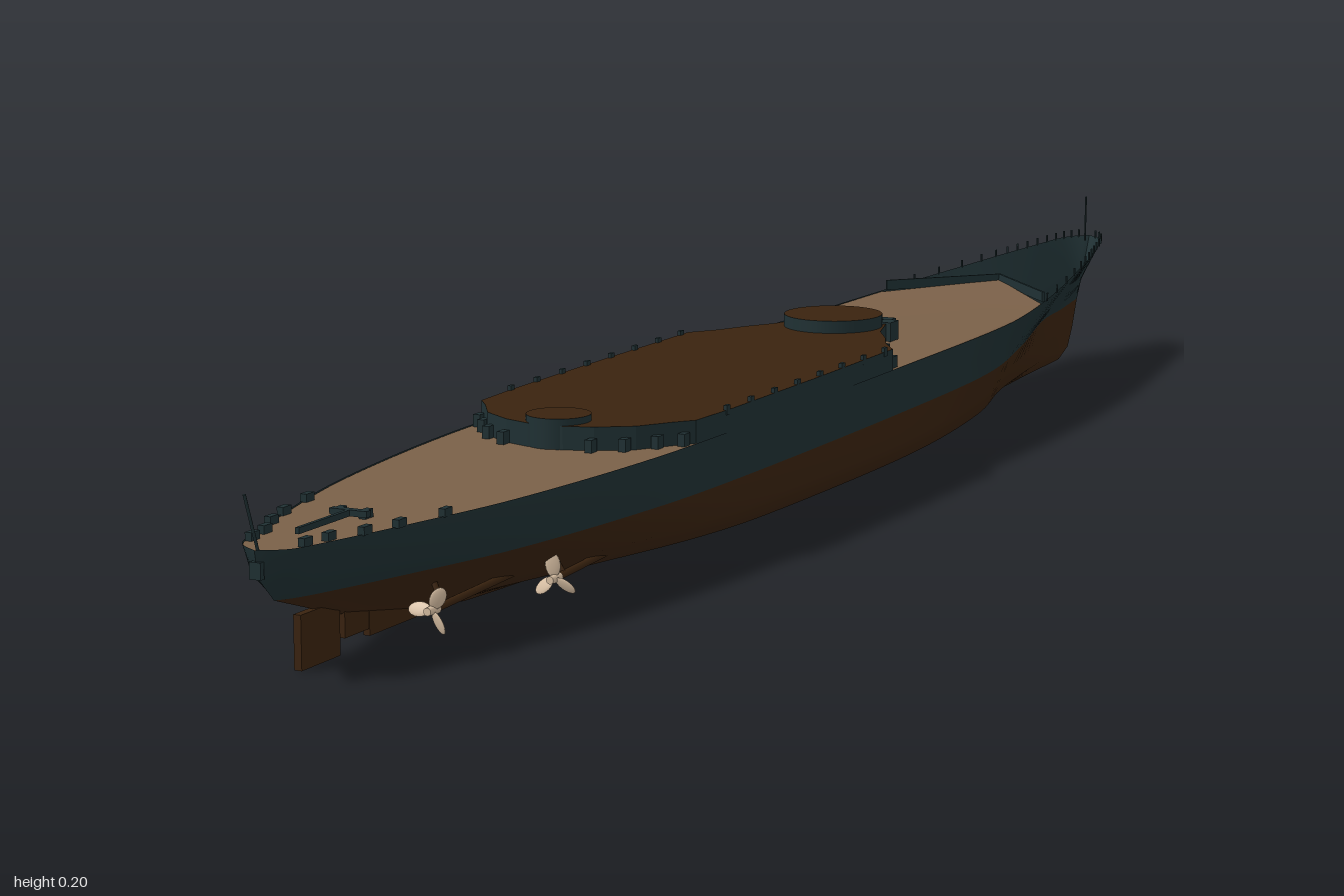
import * as THREE from 'three';

const mat = (name, color, side = THREE.FrontSide) => {
  const m = new THREE.MeshStandardMaterial({ color, side });
  m.name = name;
  return m;
};

// Fractions of a waterline's length at which half-widths are given
const F = [0, .012, .05, .1, .2, .3, .45, .65, .75, .85, .92, .97, .99, 1];
// Waterlines from keel to deck: height, bow z, stern z, half-widths
const LEVELS = [
  { y: .004, a: -.90, b: .62, w: [0, .002, .005, .01, .025, .055, .078, .078, .06, .03, .012, .005, .002, 0] },
  { y: .016, a: -.93, b: .72, w: [0, .002, .008, .018, .045, .085, .112, .112, .098, .06, .03, .01, .004, 0] },
  { y: .04, a: -.945, b: .85, w: [0, .003, .012, .024, .06, .1, .125, .125, .112, .07, .035, .012, .005, 0] },
  { y: .075, a: -.96, b: .955, w: [0, .004, .016, .03, .08, .117, .128, .128, .117, .09, .055, .026, .012, 0] },
  { y: .1, a: -.975, b: .98, w: [0, .008, .026, .045, .09, .12, .128, .128, .12, .096, .064, .034, .02, 0] },
  { y: null, a: -1, b: .985, w: [0, .026, .046, .068, .104, .124, .128, .128, .121, .098, .067, .04, .026, 0] },
];
const N = 104;
const sheer = z => .127 + .026 * Math.pow(Math.max(0, (-z - .45) / .55), 1.3);

// Points of one waterline on one side of the hull
function waterline({ y, a, b, w }, side) {
  const curve = new THREE.SplineCurve(F.map((f, i) => new THREE.Vector2(a + (b - a) * f, w[i])));
  return curve.getPoints(N).map(p => new THREE.Vector3(side * Math.max(0, p.y), y ?? sheer(p.x), p.x));
}

// Skin between successive rows of points
function skin(rows) {
  const pos = [], idx = [], n = rows[0].length;
  rows.forEach(r => r.forEach(p => pos.push(p.x, p.y, p.z)));
  for (let j = 0; j < rows.length - 1; j++)
    for (let i = 0; i < n - 1; i++) {
      const a = j * n + i, b = a + n;
      idx.push(a, b, a + 1, b, b + 1, a + 1);
    }
  const g = new THREE.BufferGeometry();
  g.setAttribute('position', new THREE.Float32BufferAttribute(pos, 3));
  g.setIndex(idx);
  g.computeVertexNormals();
  return g;
}

// Symmetric plan shape from [x, z] points running from bow to stern
function plan(half) {
  const right = half.map(([x, z]) => new THREE.Vector2(x, -z));
  const left = half.filter(p => p[0] > 0).map(([x, z]) => new THREE.Vector2(-x, -z)).reverse();
  return new THREE.Shape([...right, ...left]);
}

export function createModel() {
  const ship = new THREE.Group();
  ship.name = 'warshipHull';
  const grey = mat('hullGrey', 0x1f3033);
  const greyShell = mat('hullGreyShell', 0x1f3033, THREE.DoubleSide);
  const brown = mat('bottomBrown', 0x3a230f);
  const brownShell = mat('bottomBrownShell', 0x3a230f, THREE.DoubleSide);
  const wood = mat('deckWood', 0x7a6048, THREE.DoubleSide);
  const bronze = mat('propellerBronze', 0xd8bfa3);

  const add = (name, geo, material, x = 0, y = 0, z = 0, parent = ship) => {
    const m = new THREE.Mesh(geo, material);
    m.name = name;
    m.position.set(x, y, z);
    parent.add(m);
    return m;
  };
  const box = (name, w, h, d, x, y, z, m = grey) => add(name, new THREE.BoxGeometry(w, h, d), m, x, y, z);
  const rod = (name, from, to, r, m) => {
    const a = new THREE.Vector3(...from), b = new THREE.Vector3(...to), d = b.clone().sub(a);
    const mesh = add(name, new THREE.CylinderGeometry(r, r, d.length(), 8), m);
    mesh.position.copy(a).add(b).multiplyScalar(.5);
    mesh.quaternion.setFromUnitVectors(new THREE.Vector3(0, 1, 0), d.normalize());
    return mesh;
  };

  // Hull: brown below the waterline, grey above, open at the bow
  const lower = LEVELS.slice(0, 4);
  add('lowerHull', skin([...lower.map(l => waterline(l, -1)).reverse(), ...lower.map(l => waterline(l, 1))]), brownShell);
  for (const s of [-1, 1]) {
    const rows = LEVELS.slice(3).map(l => waterline(l, s));
    add('upperHullSide', skin(s < 0 ? rows.reverse() : rows), greyShell);
  }

  // Wooden deck with a V-shaped forward edge
  const rim = waterline(LEVELS[5], 1);
  const deckHalf = [[0, -.7], ...rim.filter(p => p.z > -.59 && p.z < .982).map(p => [Math.max(.001, p.x - .001), p.z]), [0, .984]];
  const deckGeo = new THREE.ShapeGeometry(plan(deckHalf)).rotateX(-Math.PI / 2);
  const dp = deckGeo.attributes.position;
  for (let i = 0; i < dp.count; i++) dp.setY(i, sheer(dp.getZ(i)) - .001);
  deckGeo.computeVertexNormals();
  add('woodenDeck', deckGeo, wood);

  // Raised midship deck
  const mid = [[0, -.25], [.05, -.25], [.066, -.2], [.088, -.165], [.105, -.13], [.127, -.1], [.1285, .1],
    [.1275, .3], [.124, .37], [.108, .39], [.085, .425], [.05, .448], [.02, .458], [0, .459]];
  const midGeo = new THREE.ExtrudeGeometry(plan(mid), { depth: .03, bevelEnabled: false }).rotateX(-Math.PI / 2);
  add('midshipDeck', midGeo, [brown, grey], 0, .12, 0);

  // Gun barbettes
  const barbette = (name, r, top, z) =>
    add(name, new THREE.CylinderGeometry(r, r, top - .12, 40), [grey, brown, grey], 0, (top + .12) / 2, z);
  barbette('forwardBarbette', .056, .164, -.215);
  barbette('aftBarbette', .033, .157, .43);
  box('forwardPlatform', .084, .02, .014, 0, .14, -.288);
  box('forwardPlatformStem', .034, .024, .04, 0, .14, -.28);
  for (const s of [-1, 1]) box('platformWing', .018, .022, .022, s * .045, .14, -.265);

  for (const s of [-1, 1]) {
    // Breakwater along the forward edge of the wood
    const water = box('breakwater', .003, .012, .152, s * .052, .137, -.645);
    water.rotation.y = s * Math.atan2(.104, .11);
    // Lockers along the sloping ends of the midship deck
    for (const [x, z] of [[.078, -.185], [.098, -.15], [.118, -.118], [.118, .385], [.1, .408], [.078, .436], [.05, .455]])
      box('deckLocker', .008, .014, .012, s * x, .132, z);
    // Small wall posts along the midship edge
    for (let z = -.08; z < .36; z += .055) box('edgePost', .004, .01, .008, s * .126, .15, z);
    // Stern bollards
    for (const [x, z] of [[.062, .84], [.05, .88], [.034, .915], [.028, .945], [.014, .82], [.075, .78]])
      box('bollard', .007, .008, .014, s * x, .13, z);
    // Rail posts around the bow
    for (let i = 4; i < 33; i += 2) {
      const p = rim[i];
      if (p.z < -.58) box('bowRailPost', .0015, .01, .003, s * p.x, p.y + .003, p.z);
    }
  }
  // Stern handling gear and staffs
  box('sternCraneBeam', .004, .006, .09, 0, .131, .87);
  box('sternCraneHead', .04, .006, .008, 0, .131, .825);
  box('sternFitting', .012, .016, .006, 0, .108, .982);
  rod('bowStaff', [0, .148, -.985], [0, .205, -.987], .0012, grey);
  rod('sternStaff', [0, .122, .978], [0, .18, .999], .0015, grey);

  // Rudders and centre skeg
  box('mainRudder', .008, .052, .066, 0, .028, .885, brown);
  rod('rudderStock', [0, .05, .87], [0, .085, .87], .004, brown);
  box('forwardRudder', .007, .032, .042, 0, .032, .822, brown);
  box('skeg', .007, .05, .2, 0, .034, .7, brown);

  // Four propellers on shafts
  const blade = new THREE.SphereGeometry(1, 14, 10).scale(.0075, .012, .0018).rotateY(.5).translate(0, .0135, 0);
  for (const s of [-1, 1])
    for (const [x, y, z, start, turn] of [[.08, .027, .585, .36, .1], [.05, .031, .765, .5, -.5]]) {
      rod('propellerShaft', [s * x, y, z], [s * x * .85, y + .004, start], .004, brown);
      rod('shaftStrut', [s * x, y, z - .02], [s * x * .6, .07, z - .025], .003, brown);
      const prop = new THREE.Group();
      prop.name = 'propeller';
      prop.position.set(s * x, y, z);
      const hub = add('propellerHub', new THREE.CylinderGeometry(.004, .005, .018, 12), bronze, 0, 0, 0, prop);
      hub.rotation.x = Math.PI / 2;
      for (let k = 0; k < 3; k++)
        add('propellerBlade', blade, bronze, 0, 0, 0, prop).rotation.z = s * turn + k * Math.PI * 2 / 3;
      ship.add(prop);
    }
  return ship;
}
